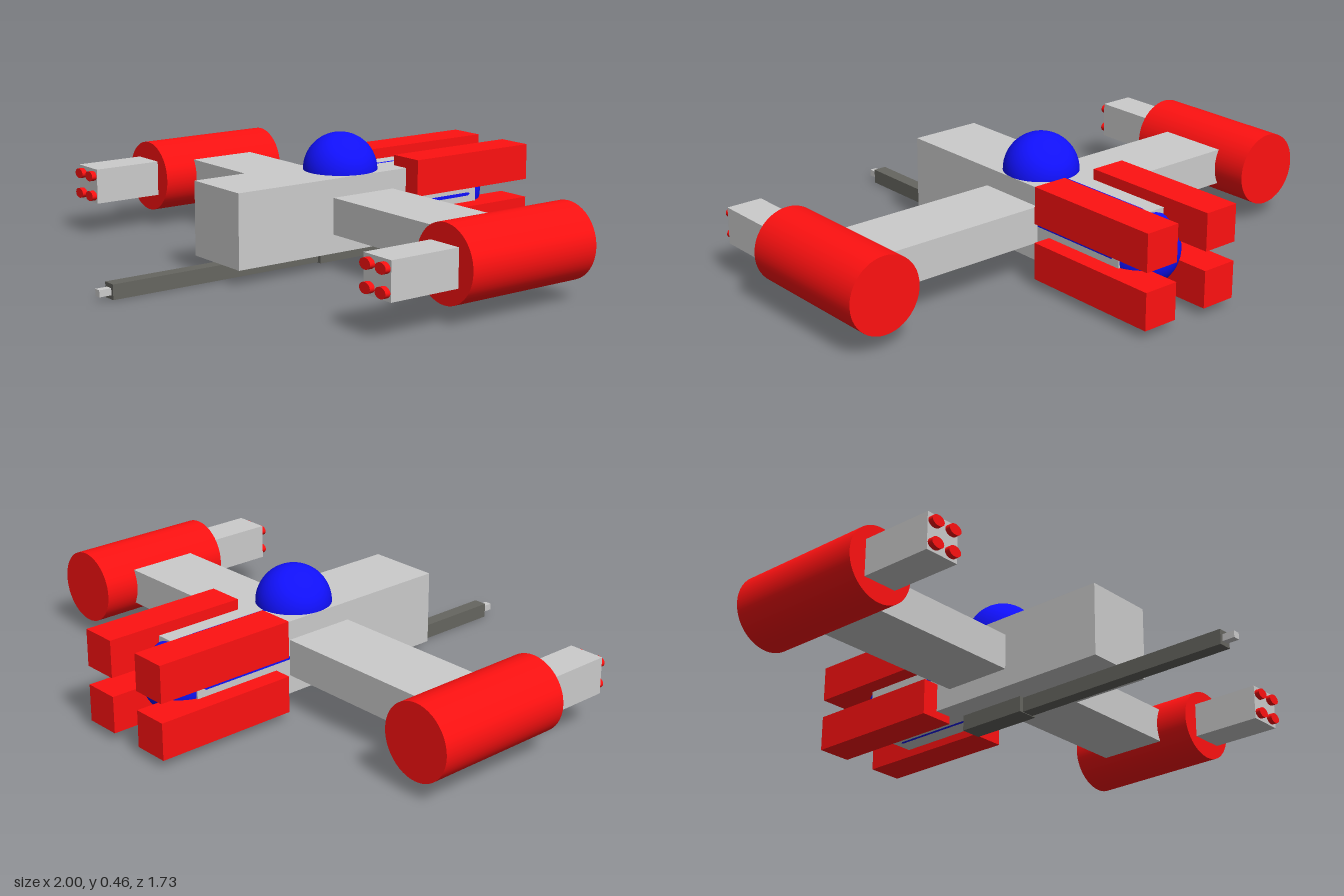
import * as THREE from 'three';

export function createModel() {
  const model = new THREE.Group();
  const mat = (color) => new THREE.MeshStandardMaterial({ color });
  const grey = mat(0xcccccc), red = mat(0xff1111), blue = mat(0x1111ff), dark = mat(0x666660);

  const add = (name, geometry, material, x, y, z) => {
    const mesh = new THREE.Mesh(geometry, material);
    mesh.name = name;
    mesh.position.set(x, y, z);
    model.add(mesh);
    return mesh;
  };
  // Box given by its lower and upper corner
  const box = (name, material, [x0, y0, z0], [x1, y1, z1]) =>
    add(name, new THREE.BoxGeometry(x1 - x0, y1 - y0, z1 - z0), material,
      (x0 + x1) / 2, (y0 + y1) / 2, (z0 + z1) / 2);
  // Cylinder lying along z
  const rod = (name, material, r, x, y, z0, z1) =>
    add(name, new THREE.CylinderGeometry(r, r, z1 - z0, 48).rotateX(Math.PI / 2),
      material, x, y, (z0 + z1) / 2);

  // Hull and cockpit dome
  box('hull', grey, [-0.133, 0.057, -0.67], [0.133, 0.323, 0.395]);
  add('cockpitDome', new THREE.SphereGeometry(0.133, 48, 16, 0, Math.PI * 2, 0, Math.PI / 2),
    blue, 0, 0.323, -0.138);

  // Rounded rear drive core, barely breaking through the hull sides
  add('driveCore', new THREE.CapsuleGeometry(0.1334, 0.47, 16, 48).rotateX(Math.PI / 2),
    blue, 0, 0.19, -0.4);

  // Cannon slung under the hull
  box('cannonMount', dark, [-0.04, 0, -0.29], [0.04, 0.057, -0.02]);
  box('cannonBarrel', dark, [-0.025, 0.002, -0.02], [0.025, 0.055, 0.82]);
  box('cannonTip', grey, [-0.013, 0.016, 0.82], [0.013, 0.04, 0.865]);

  // Wings
  box('wings', grey, [-0.8, 0.125, -0.272], [0.8, 0.256, -0.006]);

  for (const side of [-1, 1]) {
    // Wing tip pod with its gun block
    const px = side * 0.867;
    rod('wingPod', red, 0.133, px, 0.19, -0.405, 0.128);
    box('gunBlock', grey, [px - 0.066, 0.125, 0.1], [px + 0.066, 0.256, 0.397]);

    for (const up of [-1, 1]) {
      // Oval gun muzzles
      for (const dx of [-0.037, 0.037]) {
        rod('muzzle', red, 0.026, px + dx, 0.19 + up * 0.038, 0.38, 0.416).scale.y = 0.72;
      }
      // Rear thruster block
      const tx = side * 0.132, ty = 0.195 + up * 0.1;
      box('thruster', red, [tx - 0.066, ty - 0.066, -0.865], [tx + 0.066, ty + 0.066, -0.333]);
    }
  }
  return model;
}
